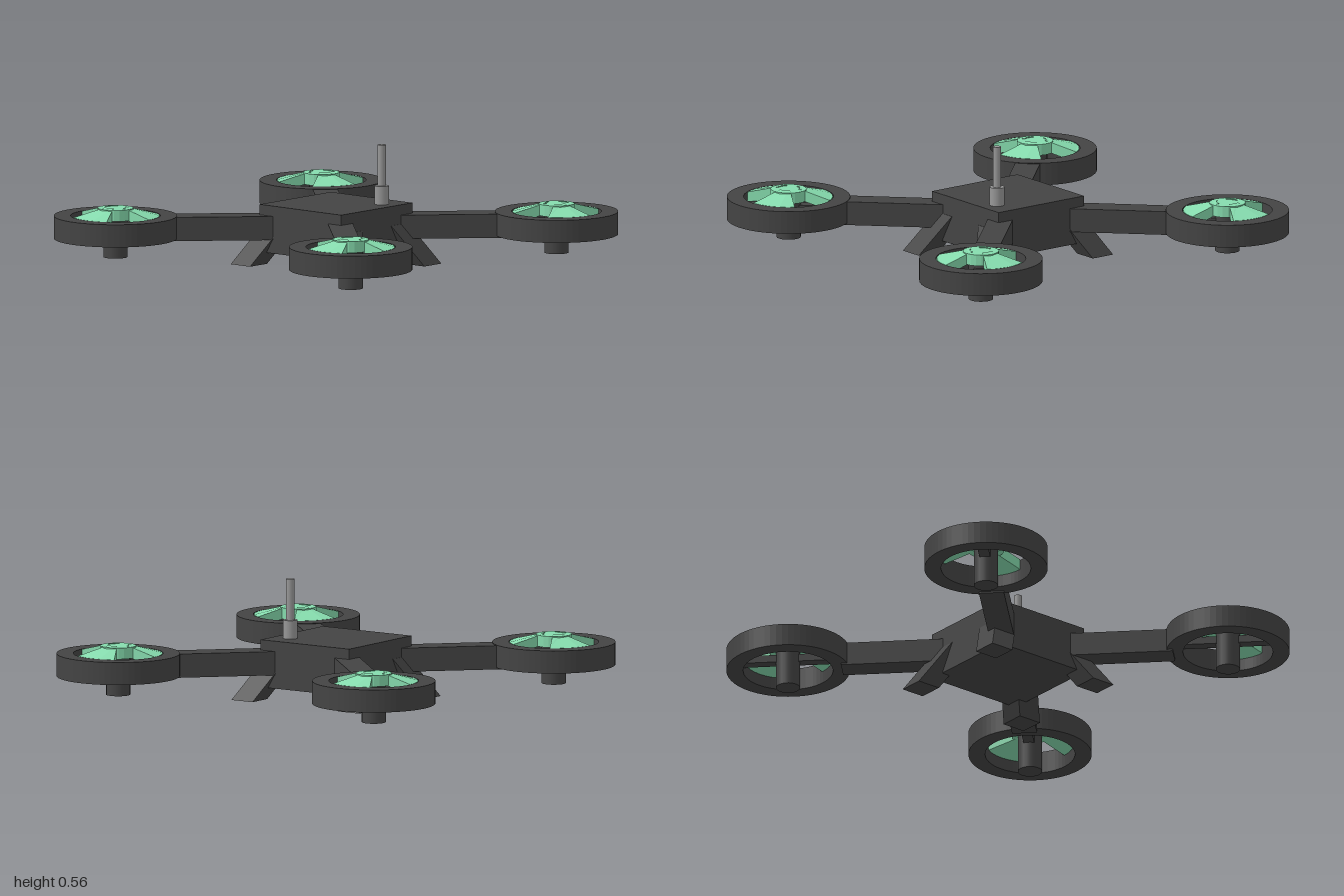
import * as THREE from 'three';

const mat = (color, opts = {}) => new THREE.MeshStandardMaterial({ color, ...opts });
const dark = mat(0x444444);
const grey = mat(0x999999);
const green = mat(0x86dcae, { flatShading: true });

function part(name, geometry, material, x = 0, y = 0, z = 0) {
  const mesh = new THREE.Mesh(geometry, material);
  mesh.name = name;
  mesh.position.set(x, y, z);
  return mesh;
}

// Lathe with hard edges: each profile segment gets its own normals
function ringGeometry(outer, inner, y0, y1) {
  const shape = new THREE.Shape().absarc(0, 0, outer, 0, Math.PI * 2);
  shape.holes.push(new THREE.Path().absarc(0, 0, inner, 0, Math.PI * 2, true));
  const g = new THREE.ExtrudeGeometry(shape, { depth: y1 - y0, bevelEnabled: false, curveSegments: 32 });
  return g.rotateX(-Math.PI / 2).translate(0, y0, 0);
}

// Sixty-degree blade sloping down from the hub to the tip
function bladeGeometry() {
  const r0 = 0.05, r1 = 0.203;
  const shape = new THREE.Shape();
  shape.absarc(0, 0, r1, Math.PI / 3, Math.PI * 2 / 3);
  shape.absarc(0, 0, r0, Math.PI * 2 / 3, Math.PI / 3, true);
  const g = new THREE.ExtrudeGeometry(shape, { depth: 0.05, bevelEnabled: false, curveSegments: 3 });
  g.rotateX(-Math.PI / 2);
  const p = g.attributes.position;
  for (let i = 0; i < p.count; i++) {
    const t = (Math.hypot(p.getX(i), p.getZ(i)) - r0) / (r1 - r0);
    p.setY(i, p.getY(i) + 0.225 - 0.04 * t);
  }
  g.computeVertexNormals();
  return g;
}

// Square leg sheared outward along both axes
function legGeometry() {
  const height = 0.19;
  const g = new THREE.BoxGeometry(0.118, height, 0.118).translate(0, height / 2, 0);
  const p = g.attributes.position;
  for (let i = 0; i < p.count; i++) {
    const shift = 0.57 * p.getY(i);
    p.setX(i, p.getX(i) - shift);
    p.setZ(i, p.getZ(i) - shift);
  }
  g.computeVertexNormals();
  return g;
}

export function createModel() {
  const model = new THREE.Group();
  model.name = 'quadcopter';
  model.add(part('body', new THREE.BoxGeometry(0.497, 0.22, 0.497), dark, 0, 0.17, 0));

  // Antenna at the back left of the deck
  model.add(part('antennaBase', new THREE.CylinderGeometry(0.034, 0.034, 0.09, 20), grey, 0.165, 0.32, -0.13));
  model.add(part('antennaRod', new THREE.CylinderGeometry(0.019, 0.019, 0.2, 16), grey, 0.165, 0.455, -0.13));

  const guard = ringGeometry(0.283, 0.206, 0.13, 0.235);
  const blade = bladeGeometry();
  const leg = legGeometry();
  const c = 0.717;

  for (const sx of [1, -1]) for (const sz of [1, -1]) {
    const heading = Math.atan2(-sz, sx);

    // Arm along the diagonal
    const arm = part('arm', new THREE.BoxGeometry(0.56, 0.11, 0.115).translate(0.485, 0, 0), dark, 0, 0.177, 0);
    arm.rotation.y = heading;
    model.add(arm);

    // Leg leaning out from the body corner
    const foot = part('leg', leg, dark, sx * 0.299, 0, sz * 0.266);
    foot.rotation.y = heading + Math.PI / 4;
    model.add(foot);

    // Rotor: guard ring, spoke, motor and propeller
    const rotor = new THREE.Group();
    rotor.name = 'rotor';
    rotor.position.set(sx * c, 0, sz * c);
    rotor.add(part('guardRing', guard, dark));
    const spoke = part('spoke', new THREE.BoxGeometry(0.46, 0.035, 0.05), dark, 0, 0.183, 0);
    spoke.rotation.y = heading;
    rotor.add(spoke);
    rotor.add(part('motor', new THREE.CylinderGeometry(0.056, 0.056, 0.18, 20), dark, 0, 0.133, 0));

    const propeller = new THREE.Group();
    propeller.name = 'propeller';
    propeller.add(part('hub', new THREE.CylinderGeometry(0.083, 0.083, 0.052, 20), green, 0, 0.245, 0));
    for (let i = 0; i < 3; i++) {
      const b = part('blade', blade, green);
      b.rotation.y = i * Math.PI * 2 / 3;
      propeller.add(b);
    }
    propeller.rotation.y = sz > 0 ? Math.PI : 0;
    rotor.add(propeller);
    model.add(rotor);
  }
  return model;
}
